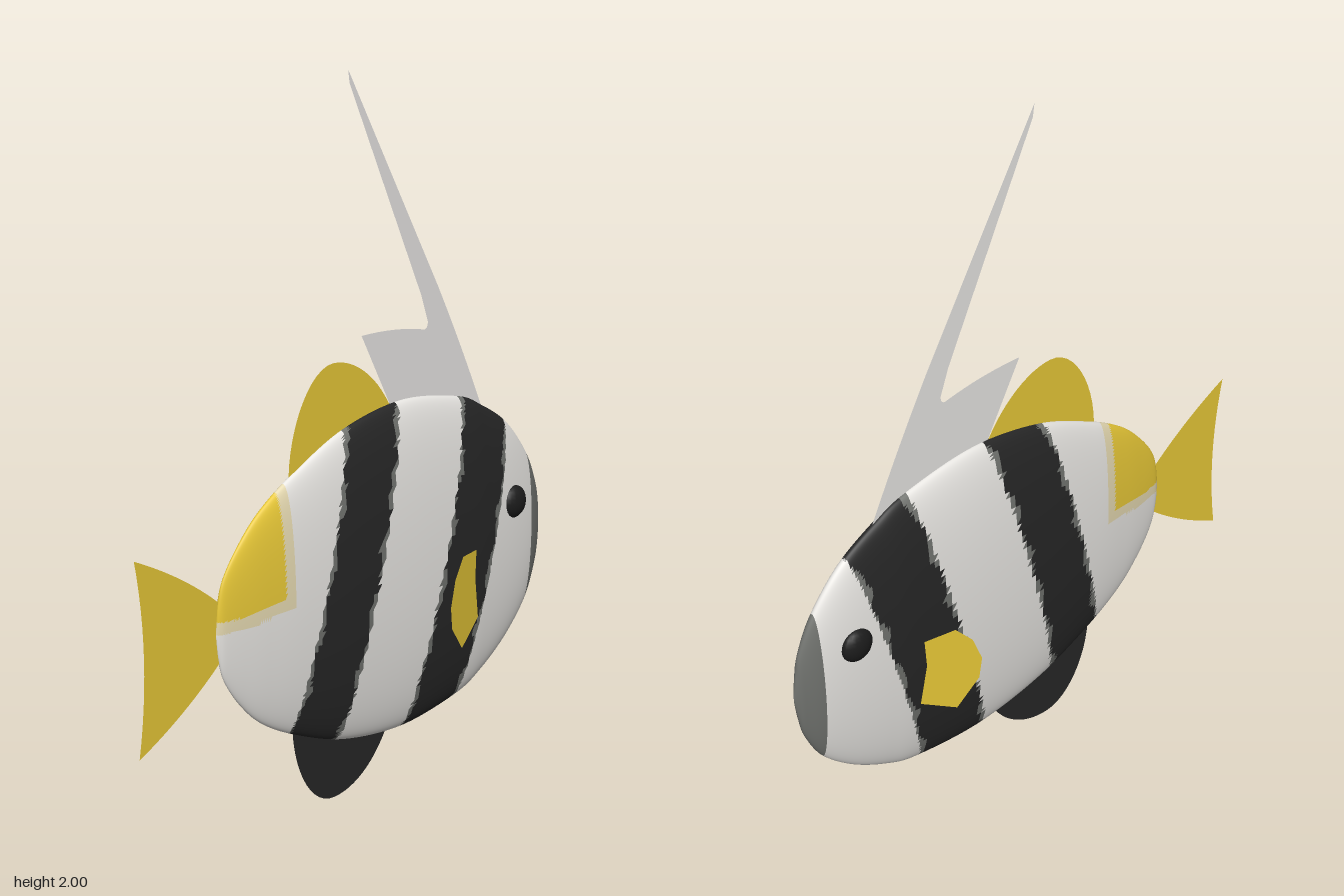
import * as THREE from 'three';

const mat = (name, color, double = false) => {
  const m = new THREE.MeshStandardMaterial({ color });
  m.name = name;
  if (double) m.side = THREE.DoubleSide;
  return m;
};

// Body stations from tail to nose: x, top, bottom, half thickness
const STATIONS = [
  [-0.548, 0.605, 0.595, 0.001], [-0.54, 0.68, 0.53, 0.008], [-0.52, 0.745, 0.465, 0.015],
  [-0.465, 0.82, 0.385, 0.025], [-0.386, 0.895, 0.31, 0.036], [-0.26, 0.97, 0.24, 0.049],
  [-0.06, 1.055, 0.165, 0.061], [0.18, 1.092, 0.132, 0.067], [0.42, 1.06, 0.157, 0.065],
  [0.53, 1.015, 0.197, 0.06], [0.645, 0.945, 0.268, 0.05], [0.74, 0.84, 0.36, 0.036],
  [0.79, 0.745, 0.455, 0.02], [0.806, 0.68, 0.52, 0.011], [0.817, 0.605, 0.595, 0.001],
];

// Material slots: 0 white, 1 black, 2 grey, 3 yellow, 4 pale yellow
function bodyColour(x, y) {
  if (x > 0.74) return 2;
  const tailEdge = Math.max(x + 0.33, 0.635 + 0.15 * Math.max(0, x + 0.45) - y);
  if (tailEdge < 0) return 3;
  if (tailEdge < 0.033) return 4;
  const s = x - 0.27 * (y - 0.6);
  const wobble = 0.012 + 0.009 * Math.sin(y * 38) + 0.004 * Math.sin(y * 91);
  for (const [a, b] of [[-0.195, 0.015], [0.295, 0.53]]) {
    if (s > a && s < b) return s < a + wobble || s > b - wobble ? 2 : 1;
  }
  return 0;
}

function bodyGeometry() {
  const NU = 200, NV = 128;
  const outline = new THREE.CatmullRomCurve3(STATIONS.map(s => new THREE.Vector3(s[0], s[1], s[2])), false, 'catmullrom');
  const girth = new THREE.CatmullRomCurve3(STATIONS.map(s => new THREE.Vector3(s[0], s[3], 0)), false, 'catmullrom');
  const pos = [];
  for (let i = 0; i <= NU; i++) {
    const p = outline.getPoint(i / NU), w = girth.getPoint(i / NU).y;
    for (let j = 0; j < NV; j++) {
      const a = j / NV * Math.PI * 2;
      pos.push(p.x, (p.y + p.z) / 2 + (p.y - p.z) / 2 * Math.cos(a), w * Math.sin(a));
    }
  }
  // Sort the faces into one list for each colour
  const lists = [[], [], [], [], []];
  const addFace = (...f) => {
    const mean = k => f.reduce((sum, v) => sum + pos[v * 3 + k], 0) / f.length;
    lists[bodyColour(mean(0), mean(1))].push(...f);
  };
  for (let i = 0; i < NU; i++) for (let j = 0; j < NV; j++) {
    const k = (j + 1) % NV;
    const a = i * NV + j, b = i * NV + k, c = a + NV, d = b + NV;
    addFace(a, b, c);
    addFace(b, d, c);
  }
  const g = new THREE.BufferGeometry();
  g.setAttribute('position', new THREE.Float32BufferAttribute(pos, 3));
  g.setIndex(lists.flat());
  let start = 0;
  lists.forEach((l, i) => { g.addGroup(start, l.length, i); start += l.length; });
  g.computeVertexNormals();
  return g;
}

export function createModel() {
  const model = new THREE.Group();
  const white = mat('white', 0xf0eeea), black = mat('black', 0x262626);
  const grey = mat('grey', 0x70726e), yellow = mat('yellow', 0xfad83c);
  const pale = mat('paleYellow', 0xe4d8b0);
  const finWhite = mat('finWhite', 0xeeecea, true);
  const finYellow = mat('finYellow', 0xfad83c, true);
  const finBlack = mat('finBlack', 0x262626, true);
  const eyeBlack = mat('eyeBlack', 0x1c1c1c);

  const add = (name, geometry, material) => {
    const m = new THREE.Mesh(geometry, material);
    m.name = name;
    model.add(m);
    return m;
  };

  add('body', bodyGeometry(), [white, black, grey, yellow, pale]);

  // Flat fins on the centre plane
  const tail = new THREE.Shape();
  tail.moveTo(-0.5, 0.68);
  tail.lineTo(-0.54, 0.69);
  tail.quadraticCurveTo(-0.66, 0.79, -0.82, 0.865);
  tail.quadraticCurveTo(-0.772, 0.605, -0.82, 0.345);
  tail.quadraticCurveTo(-0.66, 0.42, -0.54, 0.52);
  tail.lineTo(-0.5, 0.53);
  add('tailFin', new THREE.ShapeGeometry(tail), finYellow);

  const dorsal = new THREE.Shape();
  dorsal.moveTo(0.1, 1.0);
  dorsal.lineTo(0.125, 1.09);
  dorsal.bezierCurveTo(0.07, 1.18, -0.02, 1.24, -0.1, 1.24);
  dorsal.bezierCurveTo(-0.19, 1.24, -0.27, 1.1, -0.275, 0.96);
  dorsal.lineTo(-0.2, 0.9);
  add('rearDorsalFin', new THREE.ShapeGeometry(dorsal), finYellow);

  const anal = new THREE.Shape();
  anal.moveTo(0.1, 0.22);
  anal.lineTo(0.115, 0.14);
  anal.bezierCurveTo(0.06, 0.05, -0.02, 0.004, -0.1, 0.004);
  anal.bezierCurveTo(-0.19, 0.004, -0.26, 0.12, -0.268, 0.25);
  anal.lineTo(-0.2, 0.3);
  add('analFin', new THREE.ShapeGeometry(anal), finBlack);

  const banner = new THREE.Shape();
  banner.moveTo(0.5, 0.98);
  banner.lineTo(0.53, 1.015);
  banner.quadraticCurveTo(0.44, 1.2, 0.33, 1.39);
  banner.lineTo(-0.04, 2);
  banner.lineTo(-0.035, 1.965);
  banner.lineTo(0.26, 1.37);
  banner.lineTo(0.288, 1.295);
  banner.quadraticCurveTo(0.288, 1.272, 0.27, 1.275);
  banner.quadraticCurveTo(0.15, 1.3, 0.012, 1.296);
  banner.lineTo(0.13, 1.085);
  banner.lineTo(0.14, 1.02);
  add('bannerFin', new THREE.ShapeGeometry(banner), finWhite);

  // Paired fins flare outward toward the tail
  const pectoral = [[0.34, 0.62], [0.43, 0.615], [0.425, 0.53], [0.447, 0.405],
    [0.34, 0.345], [0.272, 0.425], [0.263, 0.49], [0.29, 0.565]];
  for (const [side, s] of [['right', 1], ['left', -1]]) {
    const g = new THREE.ShapeGeometry(new THREE.Shape(pectoral.map(p => new THREE.Vector2(...p))));
    const p = g.attributes.position;
    for (let i = 0; i < p.count; i++) p.setZ(i, s * (0.067 + (0.447 - p.getX(i)) * 0.26));
    g.computeVertexNormals();
    add(side + 'PectoralFin', g, finYellow);

    const eye = add(side + 'Eye', new THREE.SphereGeometry(0.049, 16, 12), eyeBlack);
    eye.scale.z = 0.55;
    eye.position.set(0.637, 0.71, s * 0.045);
  }
  return model;
}
